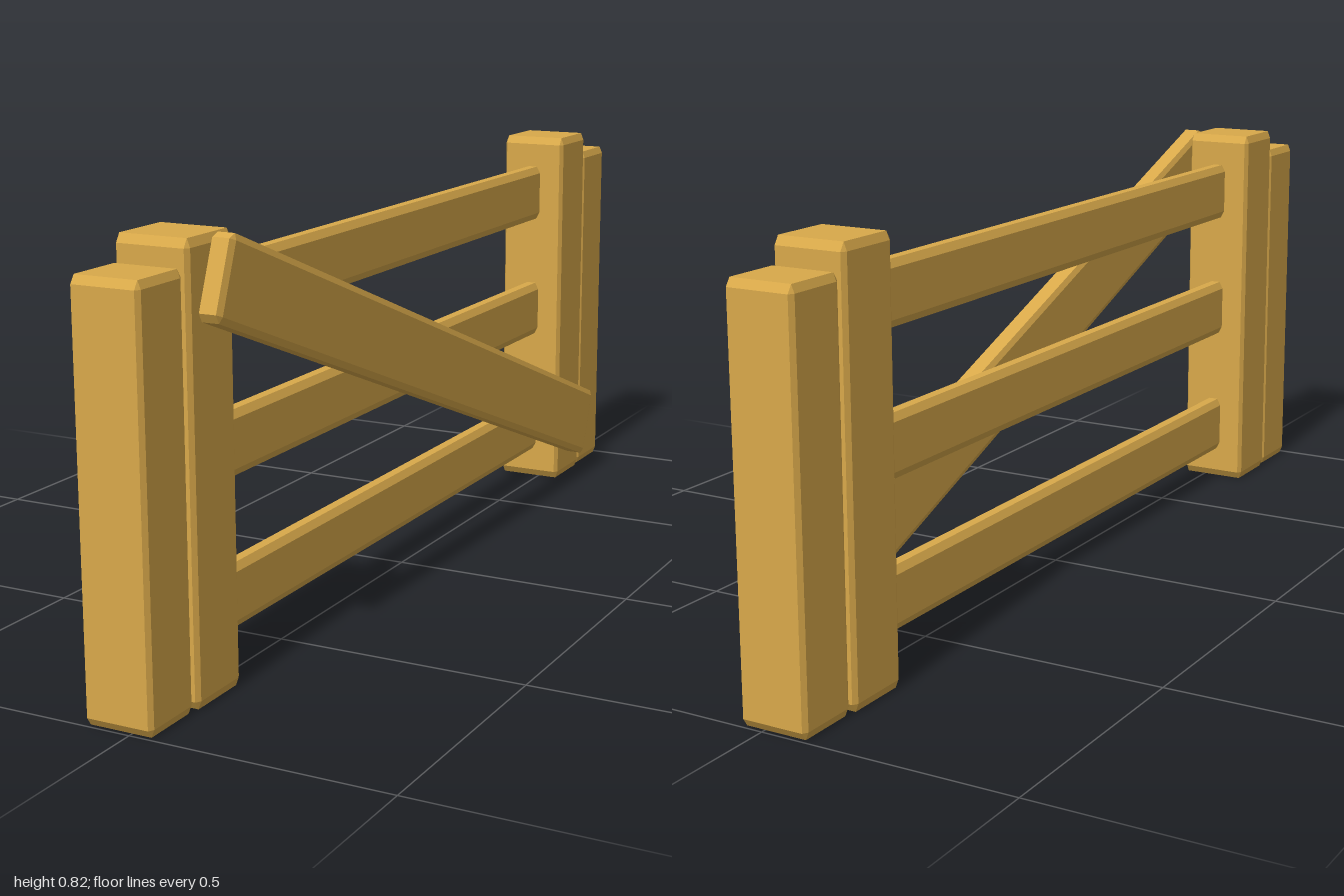
import * as THREE from 'three';
import { ConvexGeometry } from 'three/addons/geometries/ConvexGeometry.js';

const wood = new THREE.MeshStandardMaterial({ color: 0xd9a94a, flatShading: true });

// Box with flat chamfers; size and chamfer are given per axis
function beam(name, size, chamfer, position) {
  const points = [];
  for (const sx of [-1, 1]) for (const sy of [-1, 1]) for (const sz of [-1, 1]) {
    const signs = [sx, sy, sz];
    for (let full = 0; full < 3; full++) {
      points.push(new THREE.Vector3(...signs.map((s, i) =>
        s * (size[i] / 2 - (i === full ? 0 : chamfer[i])))));
    }
  }
  const mesh = new THREE.Mesh(new ConvexGeometry(points), wood);
  mesh.name = name;
  mesh.position.set(...position);
  return mesh;
}

export function createModel() {
  const fence = new THREE.Group();
  fence.name = 'fence';

  // A tall inner post and a shorter outer post at each end
  for (const [end, s] of [['front', 1], ['back', -1]]) {
    fence.add(
      beam(end + 'InnerPost', [0.144, 0.817, 0.142], [0.006, 0.016, 0.01], [-0.023, 0.4085, s * 0.793]),
      beam(end + 'OuterPost', [0.134, 0.77, 0.132], [0.006, 0.015, 0.01], [-0.023, 0.385, s * 0.934]),
    );
  }

  // Three horizontal rails between the posts
  [0.13, 0.413, 0.688].forEach((y, i) => {
    fence.add(beam('rail' + (i + 1), [0.036, 0.122, 1.47], [0.008, 0.015, 0.012], [-0.023, y, 0]));
  });

  // Diagonal brace on the left face, rising towards the front
  const brace = beam('brace', [0.043, 0.153, 1.755], [0.005, 0.012, 0.014], [0.0715, 0.437, 0]);
  brace.rotation.x = -THREE.MathUtils.degToRad(21);
  fence.add(brace);

  return fence;
}
